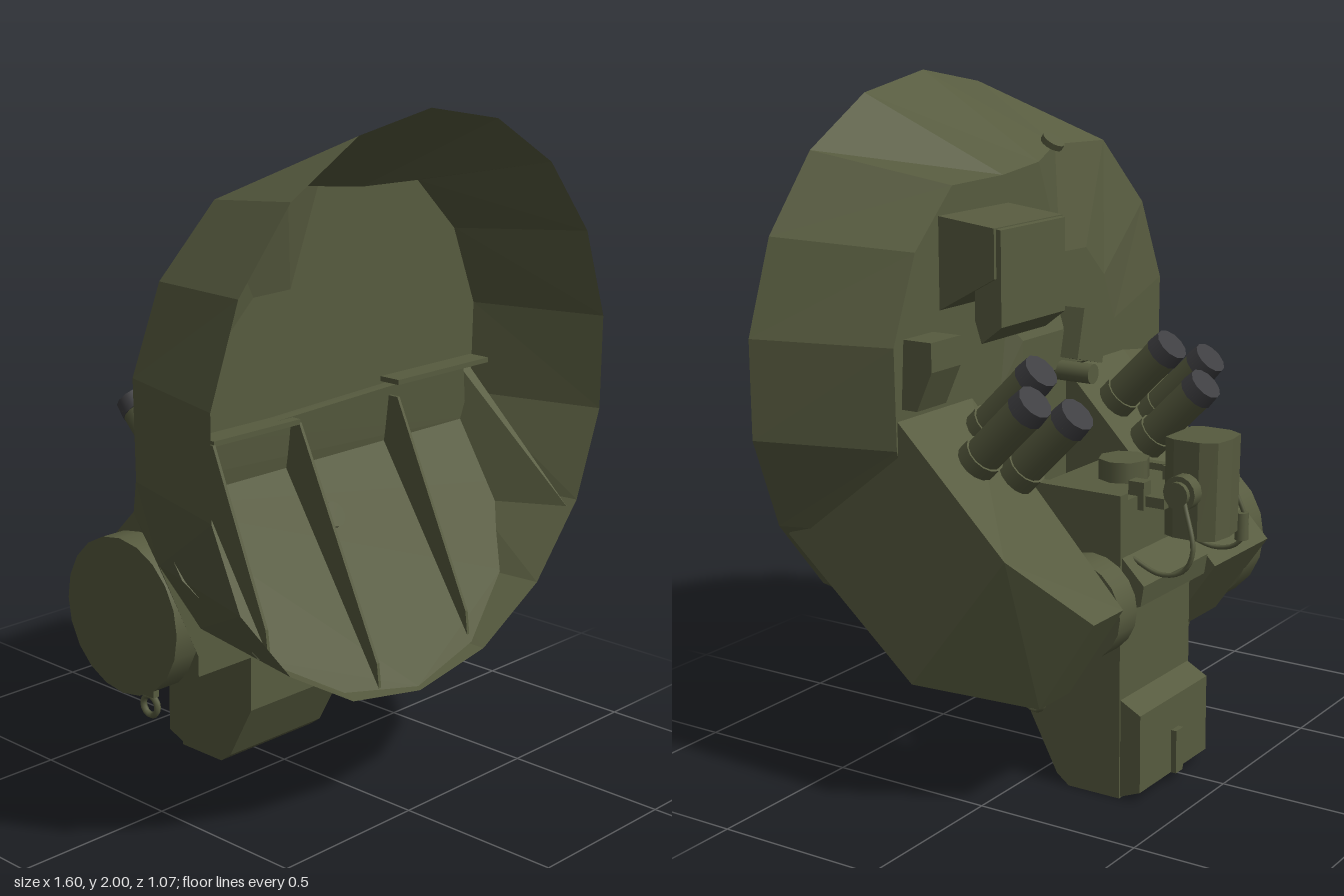
import * as THREE from 'three';
import { ConvexGeometry } from 'three/addons/geometries/ConvexGeometry.js';

export function createModel() {
  const root = new THREE.Group();
  root.name = 'armouredTurret';
  const olive = new THREE.MeshStandardMaterial({ color: 0x575b3f, side: THREE.DoubleSide });
  olive.name = 'olive paint';
  const black = new THREE.MeshStandardMaterial({ color: 0x3e3e41 });
  black.name = 'dark caps';
  const V = (x, y, z) => new THREE.Vector3(x, y, z);

  const add = (name, geo, mat = olive) => {
    const m = new THREE.Mesh(geo, mat);
    m.name = name;
    root.add(m);
    return m;
  };
  const hull = (name, pts) => add(name, new ConvexGeometry(pts.map(p => V(...p))));
  // Convex side profile of [z, y] points, swept from x0 to x1
  const prism = (name, x0, x1, zy) =>
    hull(name, [x0, x1].flatMap(x => zy.map(([z, y]) => [x, y, z])));
  const box = (name, x0, x1, y0, y1, z0, z1) => {
    const m = add(name, new THREE.BoxGeometry(x1 - x0, y1 - y0, z1 - z0));
    m.position.set((x0 + x1) / 2, (y0 + y1) / 2, (z0 + z1) / 2);
    return m;
  };
  const rod = (name, a, b, r, mat = olive, sides = 14, r2 = r) => {
    const d = b.clone().sub(a);
    const m = add(name, new THREE.CylinderGeometry(r2, r, d.length(), sides), mat);
    m.position.copy(a).addScaledVector(d, 0.5);
    m.quaternion.setFromUnitVectors(V(0, 1, 0), d.normalize());
    return m;
  };
  // Faceted band joining two closed rings of equal length
  const band = (name, a, b) => {
    const p = [];
    a.forEach((_, k) => {
      const n = (k + 1) % a.length;
      p.push(...a[k], ...b[k], ...a[n], ...a[n], ...b[k], ...b[n]);
    });
    const geo = new THREE.BufferGeometry();
    geo.setAttribute('position', new THREE.Float32BufferAttribute(p, 3));
    geo.computeVertexNormals();
    add(name, geo);
  };

  // Eighteen-sided shell, open at the front rim; the roof slopes away at its upper right
  const half = [[0, 1.755], [0.18, 1.735], [0.42, 1.73], [0.59, 1.57], [0.69, 1.33],
    [0.685, 1.05], [0.61, 0.8], [0.46, 0.58], [0.24, 0.45], [0, 0.42]];
  const slope = { 15: [-0.61, 1.575, 0.15], 16: [-0.46, 1.775, 0.2], 17: [-0.19, 1.785, 0.2] };
  const rim = [], edge = [], roof = [];
  for (let k = 0; k < 18; k++) {
    const a = k * Math.PI / 9, [hx, y] = half[k < 10 ? k : 18 - k], x = k < 10 ? hx : -hx;
    rim.push([Math.sin(a) * 0.81, 1.19 + Math.cos(a) * 0.81, 0.535]);
    edge.push(slope[k] || [x, y, 0.13]);
    roof.push([x * 0.6, 1.1 + (y - 1.1) * 0.6, 0.13]);
  }
  band('shellWall', rim, edge);
  band('roofBorder', edge, roof);
  const plate = pts => new THREE.ShapeGeometry(new THREE.Shape(pts.map(p => new THREE.Vector2(p[0], p[1]))));
  add('roofPlate', plate(roof)).position.z = 0.13;

  // Sloping inner floor with ribs and a small port
  const floorZ = y => 0.15 + (0.98 - y) * 0.64;
  const fl = [[0.66, 0.98], [0.65, 0.8], [0.51, 0.58], [0.27, 0.44], [0, 0.39]];
  const floorGeo = plate([...fl, ...fl.slice(0, 4).reverse().map(([x, y]) => [-x, y])]);
  const fp = floorGeo.attributes.position;
  for (let i = 0; i < fp.count; i++) fp.setZ(i, floorZ(fp.getY(i)));
  floorGeo.computeVertexNormals();
  add('innerFloor', floorGeo);
  hull('innerLedge', [[-0.66, 0.98, 0.15], [0.64, 0.98, 0.15], [-0.66, 0.98, 0.13], [0.64, 0.98, 0.13],
    [-0.66, 1.04, 0.16], [-0.47, 1.12, 0.17], [0.6, 1.16, 0.17], [0.64, 1.16, 0.13], [-0.47, 1.12, 0.13], [-0.66, 1.04, 0.13]]);
  for (const [x, y] of [[-0.47, 0.58], [-0.14, 0.42], [0.27, 0.46]]) {
    prism('innerRib', x - 0.005, x + 0.005, [[0.13, 1.12], [0.2, 1.12], [floorZ(0.95) + 0.07, 0.97],
      [floorZ(y + 0.06) + 0.03, y + 0.07], [floorZ(y), y], [floorZ(0.98), 0.98]]);
  }
  box('innerStripRight', -0.47, -0.14, 1.115, 1.13, 0.13, 0.2);
  box('innerStripLeft', 0.27, 0.68, 1.155, 1.17, 0.13, 0.2);
  rod('innerPort', V(-0.05, 0.84, floorZ(0.84)), V(-0.05, 0.845, floorZ(0.84) + 0.008), 0.038);

  // Cheek armour on both sides of the gun slot
  prism('rightCheek', -0.47, -0.14, [[0.13, 1.13], [-0.385, 0.6], [-0.21, 0.35], [0.13, 0.44]]);
  hull('rightCheekShoulder', [[-0.68, 1.1, 0.13], [-0.46, 1.13, 0.13], [-0.47, 0.86, -0.13],
    [-0.47, 0.5, 0.13], [-0.61, 0.8, 0.13]]);
  hull('leftCheek', [[0.68, 1.13, 0.13], [0.34, 1.13, 0.13], [0.68, 0.8, -0.21], [0.49, 0.6, -0.365],
    [0.34, 0.6, -0.365], [0.49, 0.325, -0.19], [0.34, 0.325, -0.19], [0.27, 0.335, -0.17],
    [0.68, 0.4, 0.1], [0.27, 0.42, 0.12]]);
  hull('leftCheekFlare', [[0.68, 1.13, 0.13], [0.64, 1.13, 0.13], [0.68, 0.76, 0.52], [0.68, 0.4, 0.1], [0.5, 0.46, 0.13]]);
  rod('cheekDisc', V(-0.55, 0.58, -0.1), V(-0.46, 0.58, -0.1), 0.23, olive, 20);
  rod('trunnionDisc', V(0.25, 0.57, -0.21), V(0.34, 0.57, -0.21), 0.145, olive, 20);
  for (const x of [-0.46, 0.355]) {
    const ring = add('liftingEye', new THREE.TorusGeometry(0.03, 0.01, 6, 14));
    ring.position.set(x, 0.29, -0.085);
    ring.rotation.y = Math.PI / 2;
    box('eyeStem', x - 0.01, x + 0.01, 0.32, 0.42, -0.11, -0.06);
  }

  // Gun mount
  prism('gunMount', -0.14, 0.25, [[0, 0.87], [0, 0.2], [-0.09, 0.03], [-0.13, 0], [-0.3, 0], [-0.3, 0.87]]);
  prism('mountNose', -0.135, 0.245, [[-0.29, 0], [-0.365, 0.03], [-0.365, 0.26], [-0.29, 0.3]]);
  prism('mountCollar', -0.12, 0.24, [[-0.29, 0.72], [-0.37, 0.64], [-0.36, 0.58], [-0.29, 0.56]]);
  box('noseStrip', 0.03, 0.07, 0.03, 0.16, -0.382, -0.36);
  rod('mountCap', V(0.01, 0.86, -0.165), V(0.01, 0.93, -0.165), 0.075, olive, 8);
  box('mountEdgeRight', -0.14, -0.11, 0.86, 0.89, -0.3, -0.02);
  box('mountEdgeLeft', 0.21, 0.25, 0.86, 0.89, -0.3, -0.02);

  // Lamp ahead of the gun with bracket and cables
  const lampPlan = [[-0.03, -0.365], [0.12, -0.365], [0.135, -0.4], [0.135, -0.48], [0.11, -0.525],
    [0.045, -0.535], [-0.02, -0.525], [-0.045, -0.48], [-0.045, -0.4]];
  hull('lampHousing', lampPlan.flatMap(([x, z]) => [[x, 1.04, z], [x, 0.76, z * 0.97 - 0.01]]));
  rod('lampPivot', V(-0.1, 0.9, -0.44), V(0.19, 0.9, -0.44), 0.035);
  for (const x of [-0.065, 0.155]) rod('pivotCollar', V(x - 0.02, 0.9, -0.44), V(x + 0.02, 0.9, -0.44), 0.05);
  box('lampArm', -0.06, 0.15, 0.84, 0.87, -0.38, -0.28);
  for (const [x, s] of [[-0.05, -1], [0.14, 1]]) {
    box('armTab', x - 0.02, x + 0.02, 0.83, 0.91, -0.32, -0.27);
    const path = new THREE.CatmullRomCurve3([V(x + s * 0.04, 0.88, -0.46), V(x + s * 0.06, 0.75, -0.5),
      V(x + s * 0.06, 0.69, -0.47), V(x + s * 0.06, 0.67, -0.4), V(x + s * 0.05, 0.7, -0.3)]);
    add('lampCable', new THREE.TubeGeometry(path, 20, 0.007, 6));
  }
  rod('cablePlug', V(-0.1, 0.71, -0.49), V(-0.1, 0.79, -0.49), 0.02);

  // Smoke launcher tubes, tilted half way between up and back
  const dir = V(0, 1, -1).normalize();
  for (const [x, z] of [[-0.375, -0.23], [-0.25, -0.285], [-0.25, -0.17], [0.39, -0.25], [0.39, -0.135], [0.51, -0.195]]) {
    const tip = V(x, 1.27 + (z + 0.11) * 0.91, z);
    const at = d => tip.clone().addScaledVector(dir, -d);
    rod('launcherTube', at(0.28), at(0.03), 0.054);
    rod('launcherFoot', at(0.285), at(0.23), 0.06);
    rod('launcherCap', at(0.045), at(0), 0.057, black, 12, 0.053);
    rod('launcherBracket', at(0.32), at(0.27), 0.035, olive, 8);
  }

  // Roof sight with an undercut body and a hanging shutter
  prism('sightHousing', 0.155, 0.485, [[0.13, 1.655], [-0.05, 1.635], [-0.05, 1.5], [0.02, 1.5], [0.13, 1.4]]);
  prism('sightShutter', 0.165, 0.475, [[-0.03, 1.635], [-0.065, 1.63], [-0.065, 1.37], [0.0, 1.32], [0.02, 1.38], [0.02, 1.5]]);

  // Small periscopes and fittings on the roof
  prism('leftPeriscope', 0.53, 0.66, [[0.13, 1.16], [0.12, 1.35], [0.03, 1.35], [0.03, 1.27], [0.08, 1.16]]);
  hull('roofBulge', [[-0.27, 1.13, 0.13], [-0.13, 1.32, 0.13], [0.17, 1.32, 0.13], [0.2, 1.13, 0.13],
    [-0.15, 1.15, 0.1], [-0.08, 1.26, 0.1], [0.13, 1.26, 0.1], [0.14, 1.14, 0.1]]);
  box('rightPeriscope', -0.22, -0.08, 1.16, 1.31, 0.04, 0.13).rotation.z = 0.25;
  rod('roofStud', V(-0.07, 1.14, 0.12), V(-0.07, 1.14, -0.01), 0.03);

  // Filler cap set into the shell beside the roof edge
  rod('fillerCap', V(-0.14, 1.79, 0.18), V(-0.14, 1.805, 0.17), 0.035);
  return root;
}
